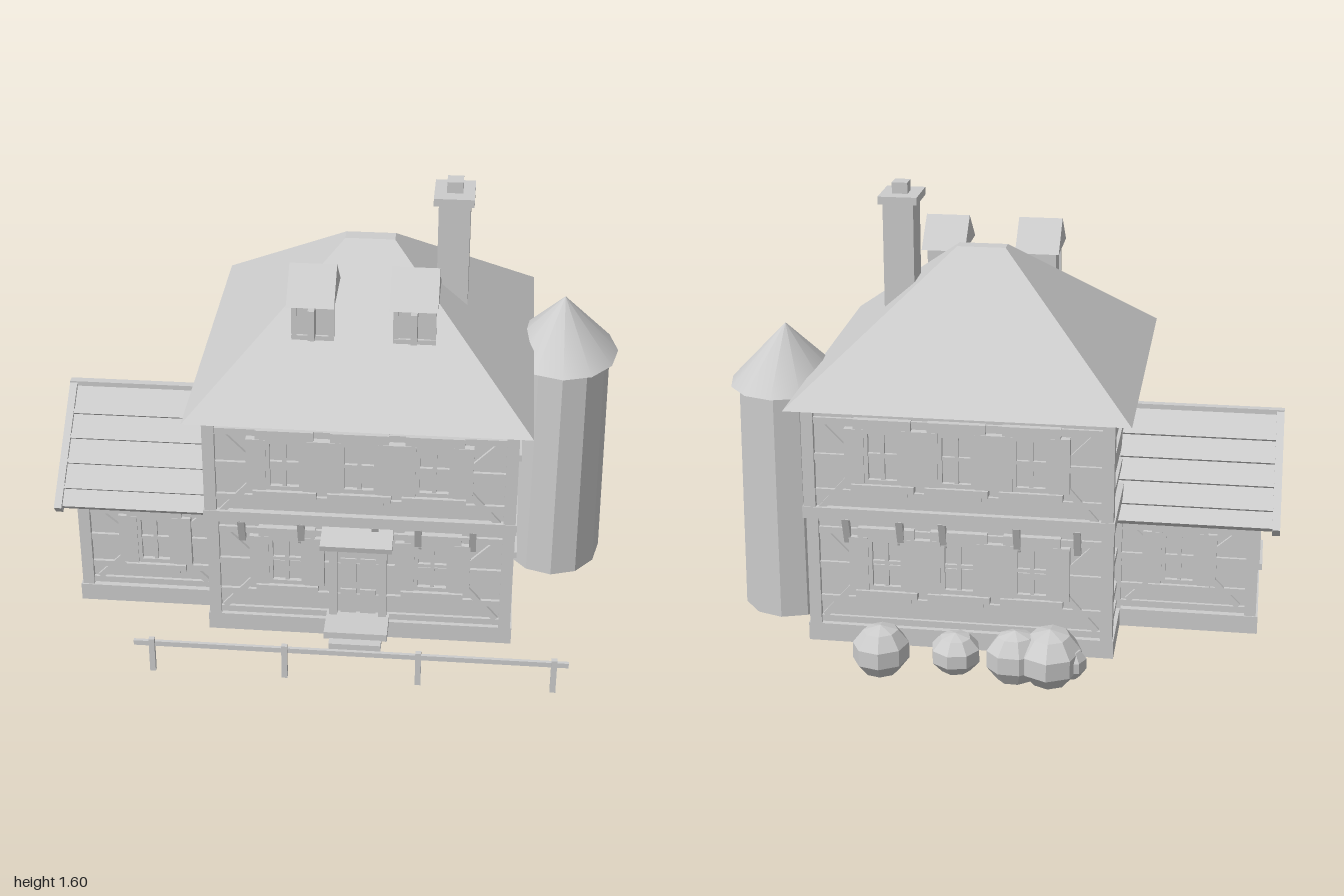
import * as THREE from 'three';

const grey = new THREE.MeshStandardMaterial({ color: 0xcccccc });
grey.name = 'light grey';

function add(parent, name, geo, x = 0, y = 0, z = 0) {
  const m = new THREE.Mesh(geo, grey);
  m.name = name;
  m.position.set(x, y, z);
  parent.add(m);
  return m;
}
// Box given by its minimum and maximum corners
function box(parent, name, x0, x1, y0, y1, z0, z1) {
  return add(parent, name, new THREE.BoxGeometry(x1 - x0, y1 - y0, z1 - z0),
    (x0 + x1) / 2, (y0 + y1) / 2, (z0 + z1) / 2);
}
function flat(geo) {
  const g = geo.toNonIndexed();
  g.computeVertexNormals();
  return g;
}
// Sloping timber on a wall facing +z
function brace(parent, x0, y0, x1, y1, w = 0.022, d = 0.012) {
  const m = add(parent, 'brace', new THREE.BoxGeometry(Math.hypot(x1 - x0, y1 - y0), w, d),
    (x0 + x1) / 2, (y0 + y1) / 2, d / 2);
  m.rotation.z = Math.atan2(y1 - y0, x1 - x0);
}
function frame(parent, name, x, y, z, turn) {
  const g = new THREE.Group();
  g.name = name;
  g.position.set(x, y, z);
  g.rotation.y = turn;
  parent.add(g);
  return g;
}

// Window with glazing bars, lintel, sill and two open shutters; y is the pane centre
function windowUnit(parent, x, y) {
  const g = frame(parent, 'window', x, y, 0, 0);
  box(g, 'pane', -0.065, 0.065, -0.1, 0.1, 0, 0.006);
  for (const s of [-1, 1]) {
    box(g, 'jamb', s * 0.058 - 0.008, s * 0.058 + 0.008, -0.1, 0.1, 0, 0.022);
    box(g, 'frameRail', -0.065, 0.065, s * 0.092 - 0.008, s * 0.092 + 0.008, 0, 0.022);
    box(g, 'shutter', s * 0.098 - 0.034, s * 0.098 + 0.034, -0.1, 0.1, 0, 0.026);
  }
  box(g, 'mullion', -0.007, 0.007, -0.1, 0.1, 0, 0.018);
  box(g, 'glazingBar', -0.06, 0.06, 0.0, 0.012, 0, 0.018);
  box(g, 'lintel', -0.1, 0.1, 0.1, 0.135, 0, 0.024);
  box(g, 'sill', -0.11, 0.11, -0.125, -0.1, 0, 0.036);
  box(g, 'sillApron', -0.085, 0.085, -0.145, -0.125, 0, 0.022);
}

// Half-timbered wall facing +z, centred on x = 0 and rising from y = 0
function timberWall(parent, name, x, y, z, turn, w, h, windows, { braces = true, winY = h * 0.55 } = {}) {
  const g = frame(parent, name, x, y, z, turn);
  for (const ry of [0.018, h * 0.23, h * 0.54, h - 0.06, h - 0.014])
    box(g, 'rail', -w / 2, w / 2, ry - 0.012, ry + 0.012, 0, 0.012);
  if (braces) for (const s of [-1, 1]) {
    const o = s * (w / 2 - 0.03), i = s * (w / 2 - 0.15);
    brace(g, o, h - 0.06, i, h * 0.56);
    brace(g, o, 0.03, i, h * 0.4);
  }
  for (const wx of windows) windowUnit(g, wx, winY);
}

// Rectangular storey with corner posts
function storey(parent, name, x0, x1, y0, y1, z0, z1) {
  const i = 0.02;
  box(parent, name, x0 + i, x1 - i, y0, y1, z0 + i, z1 - i);
  for (const x of [x0, x1 - 0.042]) for (const z of [z0, z1 - 0.05])
    box(parent, 'cornerPost', x, x + 0.042, y0, y1, z, z + 0.05);
}

function mainHouse(house) {
  const cx = 0.105, x0 = -0.435, x1 = 0.645;
  box(house, 'foundation', -0.44, 0.65, 0.043, 0.11, -0.525, 0.535);
  storey(house, 'groundFloor', x0, x1, 0.11, 0.53, -0.525, 0.535);
  storey(house, 'upperFloor', x0, x1, 0.53, 0.95, -0.555, 0.567);
  box(house, 'floorBeam', -0.44, 0.65, 0.53, 0.572, -0.558, 0.57);

  const P = Math.PI, trio = [-0.257, 0, 0.257];
  timberWall(house, 'groundFront', cx, 0.11, 0.515, 0, 1.03, 0.42, [-0.257, 0.257], { winY: 0.245 });
  timberWall(house, 'groundBack', cx, 0.11, -0.505, P, 1.03, 0.42, trio, { winY: 0.245 });
  timberWall(house, 'upperFront', cx, 0.53, 0.547, 0, 1.03, 0.42, trio, { winY: 0.24 });
  timberWall(house, 'upperBack', cx, 0.53, -0.535, P, 1.03, 0.42, trio, { winY: 0.24 });
  timberWall(house, 'groundRight', 0.625, 0.11, 0, P / 2, 1.0, 0.42, [-0.157], { braces: false, winY: 0.245 });
  timberWall(house, 'upperRight', 0.625, 0.53, 0, P / 2, 1.04, 0.42, [-0.157], { braces: false, winY: 0.24 });
  timberWall(house, 'groundLeft', -0.415, 0.11, 0, -P / 2, 1.0, 0.42, [], { braces: false });
  timberWall(house, 'upperLeft', -0.415, 0.53, 0, -P / 2, 1.04, 0.42, [0.157], { braces: false, winY: 0.24 });

  // Brackets under the overhanging floor
  for (const x of [-0.31, -0.1, 0.16, 0.31, 0.5]) for (const s of [-1, 1]) {
    const b = box(house, 'bracket', x - 0.012, x + 0.012, 0.43, 0.54, -0.012, 0.012);
    b.position.z = 0.005 + s * 0.535;
    b.rotation.x = s * 0.35;
  }

  // Hipped roof: four-sided frustum with a narrow flat top
  const geo = new THREE.BoxGeometry(1, 1, 1), p = geo.attributes.position;
  for (let i = 0; i < p.count; i++) {
    const top = p.getY(i) > 0;
    p.setXYZ(i, 0.0975 + p.getX(i) * (top ? 0.175 : 1.185), top ? 1.383 : 0.945, p.getZ(i) * (top ? 0.055 : 1.24));
  }
  add(house, 'hippedRoof', flat(geo));
  box(house, 'chimney', 0.335, 0.445, 1.155, 1.55, -0.065, 0.065);
  box(house, 'chimneyCap', 0.318, 0.458, 1.54, 1.568, -0.086, 0.086);
  box(house, 'chimneyPot', 0.361, 0.417, 1.56, 1.608, -0.031, 0.031);
}

// Triangular prism along x
function gable(parent, name, x0, x1, shapePoints) {
  const shape = new THREE.Shape(shapePoints.map(([z, y]) => new THREE.Vector2(-z, y)));
  const geo = new THREE.ExtrudeGeometry(shape, { depth: x1 - x0, bevelEnabled: false });
  geo.rotateY(Math.PI / 2);
  return add(parent, name, geo, x0, 0, 0);
}

function dormer(parent, x) {
  const g = frame(parent, 'dormer', x, 0, 0, 0);
  box(g, 'dormerBody', -0.066, 0.066, 1.15, 1.308, 0.228, 0.345);
  for (const s of [-1, 1])
    box(g, 'dormerPost', s * 0.064 - 0.009, s * 0.064 + 0.009, 1.148, 1.306, 0.333, 0.352);
  box(g, 'dormerSill', -0.073, 0.073, 1.145, 1.162, 0.333, 0.354);
  box(g, 'dormerFin', -0.011, 0.011, 1.168, 1.28, 0.34, 0.405);
  gable(g, 'dormerRoof', -0.081, 0.081, [[0.43, 1.305], [0.307, 1.413], [0.187, 1.305]]);
}

function annex(house) {
  const zc = 0.07;
  box(house, 'annexFoundation', -0.937, -0.43, 0.043, 0.11, -0.26, 0.4);
  storey(house, 'annexWalls', -0.93, -0.4, 0.11, 0.49, -0.255, 0.395);
  gable(house, 'annexGable', -0.912, -0.42, [[0.378, 0.48], [zc, 0.745], [-0.238, 0.48]]);
  timberWall(house, 'annexFront', -0.665, 0.11, 0.375, 0, 0.46, 0.38, [0.015], { winY: 0.21 });
  timberWall(house, 'annexBack', -0.665, 0.11, -0.235, Math.PI, 0.46, 0.38, [-0.015], { winY: 0.21 });
  timberWall(house, 'annexEnd', -0.91, 0.11, zc, -Math.PI / 2, 0.6, 0.38, [0], { winY: 0.21 });

  // Pitched roof with battens and a barge board on each slope
  const run = 0.37, rise = 0.305, len = Math.hypot(run, rise);
  for (const s of [-1, 1]) {
    const slope = frame(house, 'annexRoofSlope', 0, 0.78, zc, s > 0 ? 0 : Math.PI);
    const tilt = new THREE.Group();
    tilt.rotation.x = Math.atan2(rise, run);
    slope.add(tilt);
    const span = (a, b) => s > 0 ? [a, b] : [-b, -a];
    box(tilt, 'roofSlab', ...span(-0.975, -0.42), -0.022, 0, 0, len);
    box(tilt, 'bargeBoard', ...span(-1, -0.973), -0.03, 0.012, 0, len + 0.012);
    for (let i = 1; i < 5; i++)
      box(tilt, 'roofBatten', ...span(-0.975, -0.42), 0, 0.009, i * len / 5 + 0.012, i * len / 5 + 0.03);
  }
  box(house, 'ridgeCap', -1, -0.42, 0.772, 0.79, zc - 0.014, zc + 0.014);
}

function entrance(house) {
  const g = frame(house, 'entrance', 0.1, 0, 0, 0);
  box(g, 'door', -0.08, 0.08, 0.11, 0.45, 0.51, 0.522);
  for (const s of [-1, 1]) {
    box(g, 'doorPost', s * 0.088 - 0.014, s * 0.088 + 0.014, 0.11, 0.47, 0.51, 0.548);
    box(g, 'doorPanel', s * 0.035 - 0.028, s * 0.035 + 0.028, 0.14, 0.24, 0.515, 0.53);
    box(g, 'doorPane', s * 0.035 - 0.028, s * 0.035 + 0.028, 0.27, 0.37, 0.515, 0.528);
  }
  box(g, 'doorLintel', -0.105, 0.105, 0.42, 0.465, 0.51, 0.55);
  const hood = add(g, 'doorHood', new THREE.BoxGeometry(0.25, 0.022, 0.125), 0, 0.498, 0.58);
  hood.rotation.x = 0.21;
  box(g, 'upperStep', -0.112, 0.112, 0.112, 0.14, 0.5, 0.655);
  box(g, 'lowerStep', -0.092, 0.092, 0.088, 0.115, 0.5, 0.687);
}

export function createModel() {
  const house = new THREE.Group();
  house.name = 'timberHouse';
  mainHouse(house);
  annex(house);
  entrance(house);
  for (const x of [-0.074, 0.274]) dormer(house, x);

  // Oval twelve-sided tower
  const tower = frame(house, 'tower', 0.796, 0, -0.137, 0);
  const shaft = flat(new THREE.CylinderGeometry(0.213, 0.228, 0.857, 12));
  add(tower, 'towerShaft', shaft, 0, 0.4715, 0).scale.x = 0.815;
  add(tower, 'towerRoof', new THREE.ConeGeometry(0.247, 0.212, 12), 0, 1.001, 0).scale.x = 0.825;

  // Fence
  box(house, 'fenceRail', -0.665, 0.847, 0.143, 0.162, 0.778, 0.79);
  for (const x of [-0.6, -0.135, 0.33, 0.797])
    box(house, 'fencePost', x - 0.01, x + 0.01, 0.043, 0.178, 0.784, 0.801);

  // Bushes: centre x, y, z and radii
  const bushes = [
    [-0.235, 0.11, -0.668, 0.115, 0.105, 0.132], [-0.115, 0.108, -0.68, 0.105, 0.1, 0.09],
    [0.09, 0.118, -0.695, 0.09, 0.075, 0.092], [0.35, 0.115, -0.705, 0.105, 0.095, 0.1],
  ];
  bushes.forEach(([x, y, z, rx, ry, rz], i) => {
    const bush = add(house, 'bush', flat(new THREE.SphereGeometry(1, 8, 5)), x, y, z);
    bush.scale.set(rx, ry, rz);
    bush.rotation.y = i * 0.3;
  });
  add(house, 'smallBush', flat(new THREE.SphereGeometry(0.06, 7, 5)), -0.305, 0.1, -0.68);
  return house;
}
